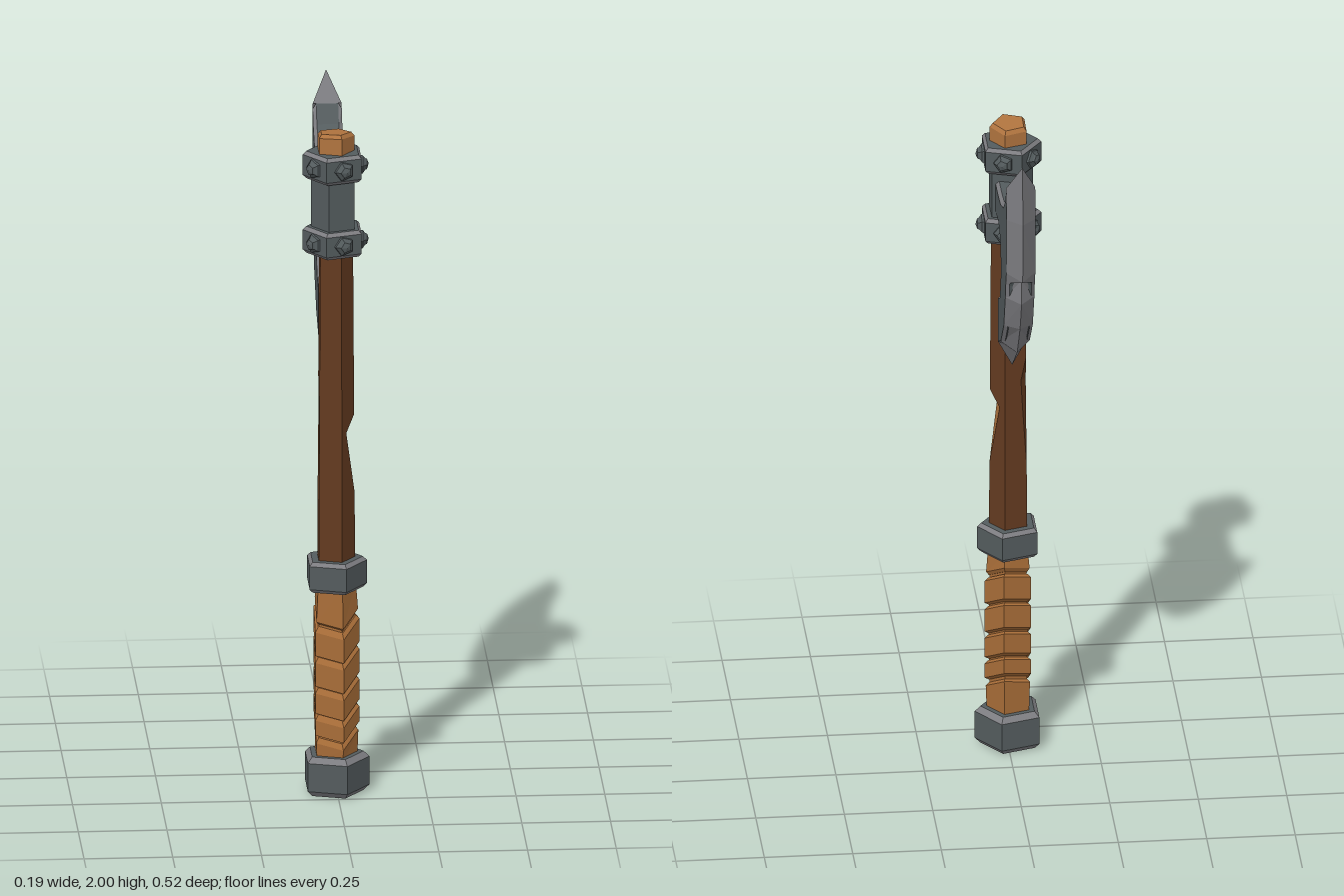
import * as THREE from 'three';

const mat = (name, color, side = THREE.FrontSide) =>
  new THREE.MeshStandardMaterial({ name, color, side, flatShading: true });

const CX = -0.006, CZ = 0.165;   // axis of the handle
const STEP = Math.PI * 2 / 5;    // five-sided handle

// Pentagon loop; tilt slopes the loop along z, flip points a corner to -x
function pentagon([y, r, tilt = 0], flip = false) {
  return Array.from({ length: 5 }, (_, i) => {
    const a = i * STEP + (flip ? Math.PI : 0);
    const dz = r * Math.sin(a);
    return new THREE.Vector3(CX + r * Math.cos(a), y + tilt * dz, CZ + dz);
  });
}

// Skin stacked loops and close both ends; pick(band, side) gives a material index
function loft(name, loops, materials, pick = () => 0) {
  const pos = [], geo = new THREE.BufferGeometry();
  const tri = (m, ...pts) => {
    geo.addGroup(pos.length / 3, 3, m);
    pts.forEach(p => pos.push(p.x, p.y, p.z));
  };
  const n = loops[0].length;
  for (let b = 0; b < loops.length - 1; b++) {
    const lo = loops[b], hi = loops[b + 1];
    for (let i = 0; i < n; i++) {
      const k = (i + 1) % n, m = pick(b, i);
      tri(m, lo[i], hi[i], lo[k]);
      tri(m, lo[k], hi[i], hi[k]);
    }
  }
  const centre = l => l.reduce((s, p) => s.add(p), new THREE.Vector3()).divideScalar(n);
  const first = loops[0], last = loops[loops.length - 1];
  const c0 = centre(first), c1 = centre(last);
  for (let i = 0; i < n; i++) {
    const k = (i + 1) % n;
    tri(0, c0, first[i], first[k]);
    tri(0, c1, last[k], last[i]);
  }
  geo.setAttribute('position', new THREE.Float32BufferAttribute(pos, 3));
  geo.computeVertexNormals();
  const mesh = new THREE.Mesh(geo, materials);
  mesh.name = name;
  return mesh;
}

export function createModel() {
  const steel = mat('dark steel', 0x545c5e);
  const edge = mat('worn steel edge', 0x7e7e82, THREE.DoubleSide);
  const darkWood = mat('dark wood', 0x643b20);
  const lightWood = mat('cut wood', 0xb0743f);
  const leather = mat('leather', 0xa86d38);
  const model = new THREE.Group();
  model.name = 'axe';

  // Steel band with worn bevels at top and bottom
  const band = (name, y0, y1, r, bevel, flip) => model.add(loft(name,
    [[y0, r - bevel], [y0 + bevel, r], [y1 - bevel, r], [y1, r - bevel]].map(p => pentagon(p, flip)),
    [steel, edge], b => (b === 1 ? 0 : 1)));
  band('pommel', 0, 0.115, 0.098, 0.016, false);
  band('gripCollar', 0.6, 0.69, 0.091, 0.011, false);
  band('lowerHeadBand', 1.59, 1.668, 0.09, 0.01, true);
  band('upperHeadBand', 1.81, 1.89, 0.09, 0.01, true);
  model.add(loft('headSleeve', [[1.64, 0.066], [1.84, 0.066]].map(p => pentagon(p, true)), [steel]));

  // Rivets on every face of the head bands
  const rivetGeo = new THREE.LatheGeometry(
    [[0.03, -0.004], [0.028, 0.006], [0.018, 0.013], [0.016, 0.018], [0, 0.023]]
      .map(p => new THREE.Vector2(...p)), 5);
  for (const y of [1.629, 1.85]) {
    for (let i = 0; i < 5; i++) {
      const a = i * STEP, rivet = new THREE.Mesh(rivetGeo, steel);
      rivet.name = 'rivet';
      const dir = new THREE.Vector3(Math.cos(a), 0, Math.sin(a));
      rivet.position.set(CX, y, CZ).addScaledVector(dir, 0.073);
      rivet.quaternion.setFromUnitVectors(new THREE.Vector3(0, 1, 0), dir);
      model.add(rivet);
    }
  }

  // Shaft: two ridges split into point pairs so they can be chipped
  const shaftLoops = [
    [0.62, 0, 0], [0.88, 0, 0], [1.065, 0.64, 0.18], [1.11, 0, 0.22],
    [1.15, 0, 0.25], [1.22, 0, 0], [1.64, 0, 0],
  ].map(([y, front, back]) => {
    const v = pentagon([y, 0.058 - 0.006 * (y - 0.62)]);
    const cut = (i, j, t) => v[i].clone().lerp(v[j], t);
    return [cut(0, 1, front), v[1], v[2], cut(3, 2, back), cut(3, 4, back), v[4], cut(0, 4, front)];
  });
  model.add(loft('shaft', shaftLoops, [darkWood, lightWood], (b, i) => (i === 6 ? 1 : 0)));

  // Wooden end above the head
  model.add(loft('shaftEnd', [[1.86, 0.056], [1.933, 0.056, 0.1], [1.944, 0.047, 0.1]]
    .map(p => pentagon(p)), [lightWood]));

  // Grip core with slanted leather wraps
  const T = -0.65;
  model.add(loft('gripCore', [[0.1, 0.055], [0.36, 0.059], [0.62, 0.054]].map(p => pentagon(p)), [leather]));
  model.add(loft('gripBottom', [[0.1, 0.064], [0.178, 0.067, T], [0.188, 0.058, T]]
    .map(p => pentagon(p)), [leather]));
  model.add(loft('gripTop', [[0.525, 0.058, T], [0.535, 0.066, T], [0.615, 0.06]]
    .map(p => pentagon(p)), [leather]));
  const seams = [0.195, 0.26, 0.34, 0.43, 0.52];
  for (let i = 0; i < 4; i++) {
    const y0 = seams[i] + 0.002, y1 = seams[i + 1] - 0.003, r = 0.07;
    model.add(loft('gripWrap',
      [[y0, r - 0.012, T], [y0 + 0.006, r, T], [y1 - 0.01, r, T], [y1, r - 0.01, T]]
        .map(p => pentagon(p)), [leather]));
  }

  // Blade body, drawn as z, y and extruded along x
  const inner = [[-0.19, 1.915], [-0.2, 1.82], [-0.195, 1.65], [-0.178, 1.61],
    [-0.165, 1.56], [-0.12, 1.45], [-0.03, 1.355], [0.063, 1.31]];
  const outer = [[-0.238, 2.0], [-0.26, 1.83], [-0.249, 1.645], [-0.205, 1.63],
    [-0.217, 1.56], [-0.17, 1.46], [-0.085, 1.344], [0.063, 1.233]];
  const tucked = inner.map(([z, y], i) =>
    (i === 0 ? [z, y] : i === 7 ? [z, y - 0.01] : [z - 0.009, y - 0.004]));
  const outline = [
    [0.14, 1.783], [0.06, 1.783], [-0.02, 1.79], [-0.1, 1.82], [-0.155, 1.865],
    ...tucked,
    [0.063, 1.455], [0.01, 1.48], [-0.015, 1.53], [-0.023, 1.575], [-0.018, 1.625],
    [0, 1.665], [0.04, 1.686], [0.14, 1.677],
  ].map(p => new THREE.Vector2(...p));
  const half = 0.041, bevel = 0.01;
  const body = new THREE.ExtrudeGeometry(new THREE.Shape(outline), {
    depth: 2 * (half - bevel), bevelThickness: bevel, bevelSize: bevel,
    bevelOffset: -bevel, bevelSegments: 1, steps: 1,
  });
  body.translate(0, 0, bevel - half).rotateY(-Math.PI / 2);

  // Slanted bevel faces take the worn edge colour
  body.clearGroups();
  const nrm = body.attributes.normal;
  for (let i = 0; i < nrm.count; i += 3) {
    const nx = Math.abs(nrm.getX(i));
    body.addGroup(i, 3, nx > 0.1 && nx < 0.98 ? 1 : 0);
  }
  const blade = new THREE.Mesh(body, [steel, edge]);
  blade.name = 'bladeBody';
  blade.position.x = -0.004;
  model.add(blade);

  // Sharpened wedge along the blade, with a nick
  const pos = [];
  const at = (list, i, x) => [x, list[i][1], list[i][0]];
  for (const s of [1, -1]) {
    for (let i = 0; i < inner.length - 1; i++) {
      const a = at(inner, i, s * half), b = at(inner, i + 1, s * half);
      const c = at(outer, i, 0), d = at(outer, i + 1, 0);
      const tris = s > 0 ? [a, b, c, b, d, c] : [a, c, b, b, c, d];
      pos.push(...tris.flat());
    }
  }
  for (const i of [0, inner.length - 1]) {
    pos.push(...at(inner, i, half), ...at(outer, i, 0), ...at(inner, i, -half));
  }
  const wedge = new THREE.BufferGeometry();
  wedge.setAttribute('position', new THREE.Float32BufferAttribute(pos, 3));
  wedge.computeVertexNormals();
  const cutting = new THREE.Mesh(wedge, edge);
  cutting.name = 'cuttingEdge';
  cutting.position.x = -0.004;
  model.add(cutting);

  return model;
}
